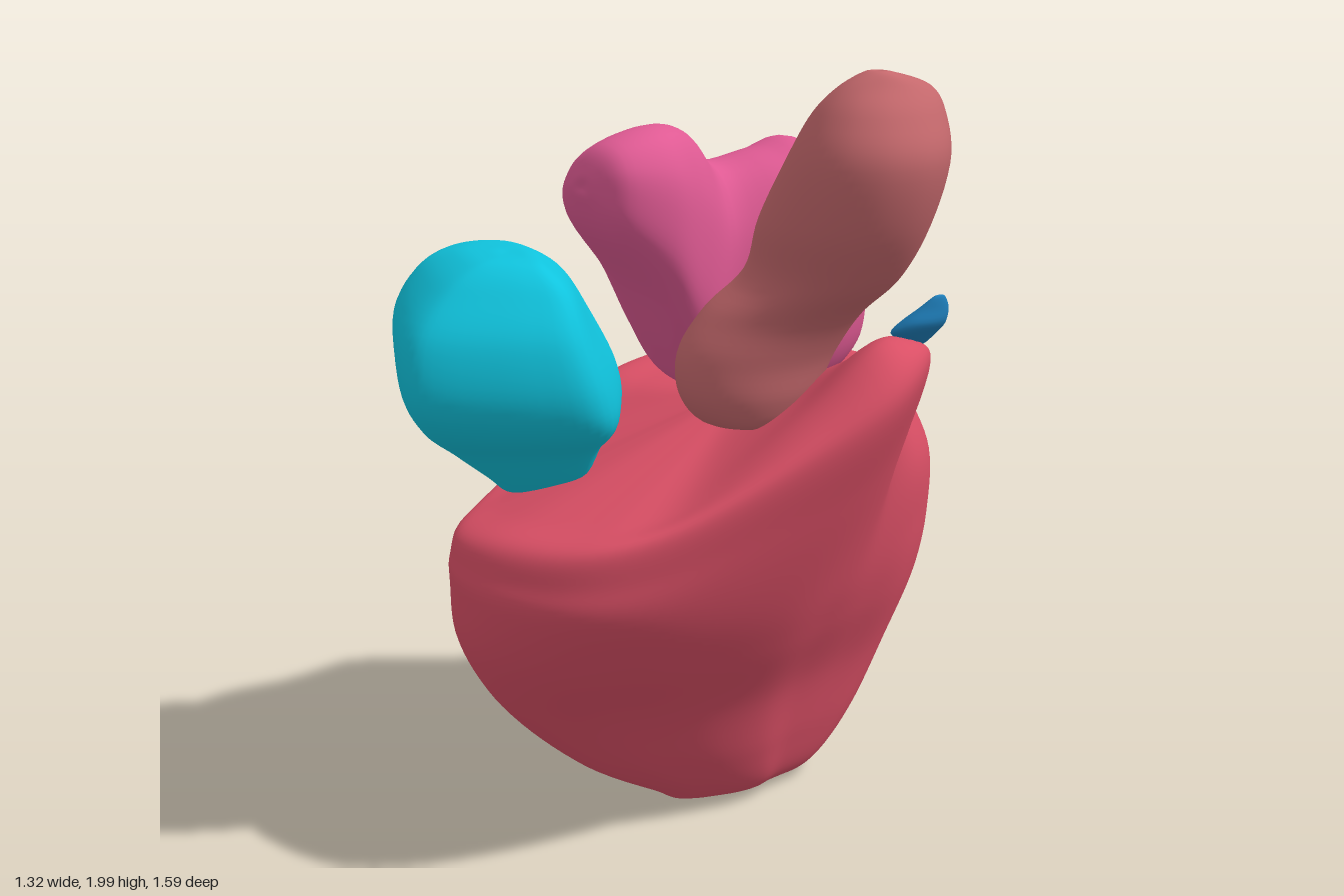
import * as THREE from 'three';
import { mergeVertices } from 'three/addons/utils/BufferGeometryUtils.js';

const V = (x, y, z) => new THREE.Vector3(x, y, z);
const centre = ring => ring.reduce((s, p) => s.add(p), V(0, 0, 0)).divideScalar(ring.length);

// Smooth closed skin over rings of equal point count; both ends close at a point
function skin(name, color, rings, around = 64, along = 60) {
  const first = rings[0], last = rings[rings.length - 1];
  const all = [first.map(() => centre(first)), ...rings, last.map(() => centre(last))];
  const loops = all.map(r => {
    const c = new THREE.CatmullRomCurve3(r, true, 'catmullrom', 0.5);
    return Array.from({ length: around }, (_, j) => c.getPoint(j / around));
  });
  const pos = [], index = [];
  for (let j = 0; j < around; j++) {
    const c = new THREE.CatmullRomCurve3(loops.map(l => l[j]), false, 'catmullrom', 0.5);
    for (let i = 0; i <= along; i++) pos.push(...c.getPoint(i / along).toArray());
  }
  const at = (i, j) => (j % around) * (along + 1) + i;
  for (let j = 0; j < around; j++) {
    for (let i = 0; i < along; i++) {
      const a = at(i, j), b = at(i, j + 1), c = at(i + 1, j), d = at(i + 1, j + 1);
      index.push(a, c, b, b, c, d);
    }
  }
  let geo = new THREE.BufferGeometry();
  geo.setAttribute('position', new THREE.Float32BufferAttribute(pos, 3));
  geo.setIndex(index);
  geo = mergeVertices(geo, 1e-5);
  geo.computeVertexNormals();
  const mesh = new THREE.Mesh(geo, new THREE.MeshStandardMaterial({ color }));
  mesh.name = name;
  return mesh;
}

// Stretch a flat outline to fill the range u0..u1, v0..v1
function fit(outline, u0, u1, v0, v1) {
  const us = outline.map(p => p[0]), vs = outline.map(p => p[1]);
  const map = THREE.MathUtils.mapLinear;
  return outline.map(([u, v]) => [
    map(u, Math.min(...us), Math.max(...us), u0, u1),
    map(v, Math.min(...vs), Math.max(...vs), v0, v1),
  ]);
}

// Horizontal rings from levels of [y, x0, x1, z0, z1]
const stack = (outline, levels) =>
  levels.map(([y, ...box]) => fit(outline, ...box).map(([x, z]) => V(x, y, z)));

const circle = Array.from({ length: 12 }, (_, i) => {
  const a = (i / 12) * Math.PI * 2;
  return [Math.cos(a), Math.sin(a)];
});

// Ventricles: two full lobes on the diagonal near the apex, a wide base above
function ventricles() {
  const lower = [
    [-0.9, -0.35], [-0.7, -0.65], [-0.4, -0.88], [0, -1], [0.45, -0.96], [0.75, -0.75],
    [0.82, -0.5], [0.88, -0.25], [1, 0], [0.95, 0.25], [0.75, 0.52], [0.5, 0.78],
    [0.1, 1], [-0.4, 0.96], [-0.75, 0.7], [-0.9, 0.35], [-1, 0],
  ];
  const upper = [
    [-0.67, -0.25], [-0.6, -0.52], [-0.44, -0.72], [-0.2, -0.8], [0.05, -0.73], [0.2, -0.55],
    [0.28, -0.37], [0.36, -0.2], [0.42, 0], [0.4, 0.22], [0.34, 0.42], [0.22, 0.57],
    [0, 0.645], [-0.22, 0.6], [-0.38, 0.42], [-0.48, 0.17], [-0.61, -0.01],
  ];
  const wide = fit(upper, -1, 1, -1, 1);
  // Levels of [share of the upper outline, y, x0, x1, z0, z1]
  const body = [
    [0, 0.015, -0.21, -0.09, -0.38, -0.05],
    [0, 0.07, -0.28, -0.01, -0.47, 0.05],
    [0.1, 0.2, -0.36, 0.06, -0.58, 0.26],
    [0.35, 0.4, -0.45, 0.15, -0.69, 0.47],
    [0.7, 0.6, -0.56, 0.29, -0.765, 0.6],
    [1, 0.77, -0.645, 0.39, -0.795, 0.64],
  ].flatMap(([t, ...level]) => {
    const blend = lower.map(([x, z], i) => [x + (wide[i][0] - x) * t, z + (wide[i][1] - z) * t]);
    return stack(blend, [level]);
  });
  // Upper rim, rising to the outflow spur on the left
  const rim = [
    [-0.59, 1.1, -0.27], [-0.53, 1.11, -0.47], [-0.42, 1.11, -0.62], [-0.2, 1.12, -0.68],
    [0.01, 1.13, -0.63], [0.16, 1.16, -0.47], [0.34, 1.21, -0.34], [0.49, 1.32, -0.3],
    [0.585, 1.28, -0.13], [0.53, 1.17, 0.07], [0.39, 1.01, 0.34], [0.25, 0.95, 0.52],
    [0, 0.92, 0.6], [-0.22, 0.89, 0.56], [-0.37, 0.9, 0.4], [-0.45, 1, 0.15], [-0.54, 1.06, 0],
  ].map(p => V(...p));
  // The rear shoulder bulges most
  const shoulder = rim.map((p, i) => {
    const q = p.clone().lerp(body[5][i], 0.5);
    const out = V(q.x + 0.1, 0, q.z + 0.1).normalize();
    return q.addScaledVector(out, i < 6 || i > 15 ? 0.045 : 0.012);
  });
  // Top surface: domed at the rear, ridged across the spur
  const middle = V(-0.04, 1.17, -0.16);
  const rise = i => (i < 6 || i > 15 ? 0.045 : { 7: 0.05, 8: 0.12, 9: 0.06 }[i] ?? 0);
  const top = [[0.15, 1], [0.4, 0.5], [0.7, 0], [0.9, 0]].map(([t, lift]) => rim.map((p, i) => {
    const q = p.clone().lerp(middle, t);
    return q.setY(q.y + lift * rise(i));
  }));
  return skin('ventricles', 0xd94f65, [...body, shoulder, rim, ...top], 102, 96);
}

// Front atrium, resting on the sloping front shoulder
function frontAtrium() {
  const outline = [
    [-0.53, 0.25], [-0.46, 0.12], [-0.32, 0.09], [-0.13, 0.14], [0.05, 0.25], [0.24, 0.42],
    [0.21, 0.57], [0.08, 0.75], [-0.02, 0.79], [-0.2, 0.71], [-0.38, 0.59], [-0.5, 0.41],
  ];
  return skin('frontAtrium', 0x10c4de, stack(outline, [
    [0.94, -0.38, -0.2, 0.25, 0.4],
    [1.0, -0.47, -0.08, 0.14, 0.48],
    [1.1, -0.52, 0.04, 0.1, 0.61],
    [1.19, -0.535, 0.19, 0.1, 0.73],
    [1.29, -0.535, 0.24, 0.13, 0.79],
    [1.42, -0.53, 0.23, 0.21, 0.78],
    [1.52, -0.44, 0.18, 0.3, 0.7],
    [1.57, -0.27, 0.12, 0.4, 0.63],
    [1.585, -0.12, 0.06, 0.46, 0.57],
  ]));
}

// Rear atrium: two lobes joined front to back, from sections [z, x0, x1, y0, y1]
function rearAtrium() {
  // Cross-section with its high side toward the left
  const section = [
    [-1, -0.25], [-0.87, 0.15], [-0.5, 0.65], [0.1, 1], [0.65, 0.94], [0.95, 0.55],
    [1, 0], [0.88, -0.6], [0.5, -0.95], [0, -1], [-0.55, -0.93], [-0.9, -0.65],
  ];
  const sections = [
    [-0.575, -0.27, -0.13, 1.29, 1.4],
    [-0.55, -0.34, -0.03, 1.2, 1.48],
    [-0.48, -0.4, 0.03, 1.14, 1.64],
    [-0.36, -0.45, 0.08, 1.11, 1.76],
    [-0.25, -0.45, 0.07, 1.11, 1.74],
    [-0.11, -0.43, 0.01, 1.14, 1.72],
    [0, -0.37, 0.04, 1.26, 1.81],
    [0.12, -0.3, 0.08, 1.44, 1.83],
    [0.24, -0.23, 0.05, 1.58, 1.8],
    [0.28, -0.14, -0.03, 1.67, 1.74],
  ];
  return skin('rearAtrium', 0xdf5a93,
    sections.map(([z, ...box]) => fit(section, ...box).map(([x, y]) => V(x, y, z))));
}

// Great artery, leaning up and out to the left
const artery = () => skin('artery', 0xc4686c, stack(circle, [
  [1.15, 0.04, 0.25, -0.12, 0.08],
  [1.22, -0.01, 0.3, -0.2, 0.14],
  [1.32, -0.02, 0.33, -0.25, 0.145],
  [1.42, 0.02, 0.39, -0.28, 0.1],
  [1.52, 0.11, 0.51, -0.28, 0.05],
  [1.65, 0.18, 0.61, -0.28, 0.07],
  [1.8, 0.29, 0.66, -0.28, 0.07],
  [1.9, 0.36, 0.63, -0.27, 0.04],
  [1.96, 0.43, 0.59, -0.23, 0],
  [1.995, 0.5, 0.56, -0.11, -0.05],
]));

// Small valve flap above the spur
const valveFlap = () => skin('valveFlap', 0x1f80bd, stack(circle, [
  [1.35, 0.4, 0.45, -0.33, -0.28],
  [1.39, 0.43, 0.51, -0.33, -0.2],
  [1.42, 0.46, 0.545, -0.32, -0.2],
  [1.455, 0.5, 0.55, -0.31, -0.23],
  [1.485, 0.535, 0.55, -0.285, -0.255],
]), 24, 24);

export function createModel() {
  const group = new THREE.Group();
  group.name = 'heart';
  group.add(ventricles(), frontAtrium(), rearAtrium(), artery(), valveFlap());
  return group;
}
